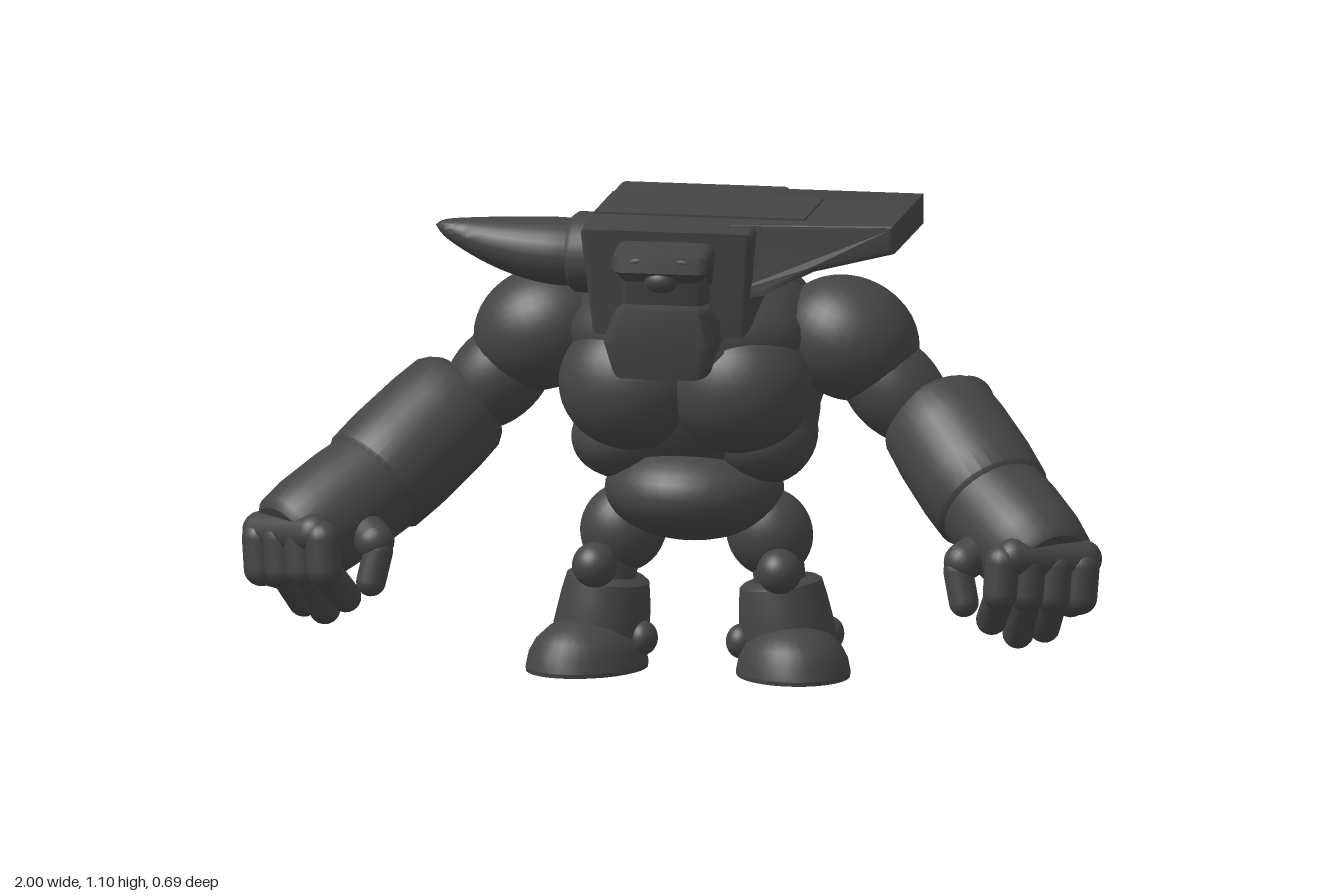
import * as THREE from 'three';
import { toCreasedNormals } from 'three/addons/utils/BufferGeometryUtils.js';

export function createModel() {
  const model = new THREE.Group();
  const iron = new THREE.MeshStandardMaterial({ color: 0x444444 });
  iron.name = 'dark iron';
  const V = (p) => new THREE.Vector3(...p);
  const UP = new THREE.Vector3(0, 1, 0);

  function add(name, geo, parent = model) {
    const mesh = new THREE.Mesh(geo, iron);
    mesh.name = name;
    parent.add(mesh);
    return mesh;
  }
  function ball(name, pos, radii, parent, rotZ = 0) {
    const m = add(name, new THREE.SphereGeometry(1, 32, 20), parent);
    m.position.set(...pos);
    m.scale.set(...radii);
    m.rotation.z = rotZ;
    return m;
  }
  // turned shape whose profile [radius, length fraction] runs from a to b
  function turned(name, a, b, profile, parent) {
    const d = V(b).sub(V(a)), len = d.length();
    const pts = profile.map(([r, t]) => new THREE.Vector2(r, t * len));
    const geo = toCreasedNormals(new THREE.LatheGeometry(pts, 32), 0.7);
    const m = add(name, geo, parent);
    m.position.set(...a);
    m.quaternion.setFromUnitVectors(UP, d.normalize());
    return m;
  }
  function capsule(name, a, b, r, parent) {
    const d = V(b).sub(V(a));
    const m = add(name, new THREE.CapsuleGeometry(r, d.length(), 8, 18), parent);
    m.position.copy(V(a).add(V(b)).multiplyScalar(0.5));
    m.quaternion.setFromUnitVectors(UP, d.normalize());
  }
  // bevelled extrusion, centred on its depth, that keeps the drawn outline
  function slab(points, depth, bevel) {
    const shape = new THREE.Shape(points.map((p) => new THREE.Vector2(...p)));
    const geo = new THREE.ExtrudeGeometry(shape, {
      depth: depth - 2 * bevel, bevelSize: bevel, bevelThickness: bevel, bevelOffset: -bevel, bevelSegments: 3, steps: 1,
    });
    return geo.translate(0, 0, bevel - depth / 2);
  }
  function reshape(geo, rule) {
    const p = geo.attributes.position, v = new THREE.Vector3();
    for (let i = 0; i < p.count; i++) {
      rule(v.fromBufferAttribute(p, i));
      p.setXYZ(i, v.x, v.y, v.z);
    }
    return toCreasedNormals(geo, 0.6);
  }

  // torso lofted through oval sections: half width, height, front z, back z
  const sections = [[0.02, 0.41, -0.08, -0.12], [0.17, 0.43, -0.02, -0.22], [0.24, 0.49, 0.02, -0.28], [0.28, 0.57, 0.07, -0.31],
    [0.29, 0.7, 0.11, -0.31], [0.28, 0.82, 0.11, -0.295], [0.24, 0.9, 0.05, -0.26], [0.15, 0.95, -0.04, -0.2], [0.01, 0.96, -0.11, -0.13]];
  const front = new THREE.CatmullRomCurve3(sections.map((s) => V([s[0], s[1], s[2]])), false, 'catmullrom');
  const back = new THREE.CatmullRomCurve3(sections.map((s) => V([0, s[1], s[3]])), false, 'catmullrom');
  const pos = [], idx = [], rows = 32, cols = 48;
  for (let i = 0; i <= rows; i++) {
    const f = front.getPoint(i / rows), b = back.getPoint(i / rows);
    for (let j = 0; j <= cols; j++) {
      const a = (j / cols) * Math.PI * 2;
      pos.push(f.x * Math.sin(a), f.y, (f.z + b.z) / 2 + ((f.z - b.z) / 2) * Math.cos(a));
      if (i < rows && j < cols) {
        const k = i * (cols + 1) + j, n = k + cols + 1;
        idx.push(k, k + 1, n, k + 1, n + 1, n);
      }
    }
  }
  const torso = new THREE.BufferGeometry();
  torso.setAttribute('position', new THREE.Float32BufferAttribute(pos, 3));
  torso.setIndex(idx);
  torso.computeVertexNormals();
  add('torso', torso);
  ball('pelvis', [0, 0.418, -0.09], [0.205, 0.118, 0.205]);
  ball('upperChest', [0, 0.79, 0.0], [0.27, 0.13, 0.14]);

  // anvil head: block, heel, top inlay
  const head = new THREE.Group();
  head.name = 'anvilHead';
  model.add(head);
  const block = slab([[0.25, 1.068], [0.2, 1.077], [0.13, 1.084], [-0.22, 1.098], [-0.23, 0.975], [0.0, 0.88], [0.13, 0.83], [0.21, 0.82]], 0.4, 0.015);
  block.rotateY(-Math.PI / 2);
  add('anvilBlock', reshape(block, (v) => {
    if (v.y < 0.9) v.x *= 0.9;
  }), head);
  const heel = slab([[0.1, 1.1], [0.51, 1.1], [0.51, 1.015], [0.33, 0.975], [0.22, 0.92], [0.1, 0.9]], 0.36, 0.012);
  add('anvilHeel', reshape(heel, (v) => {
    v.z -= 0.035;
    if (v.z > 0) v.z = Math.min(0.2, v.z + 0.075 * Math.max(0, (0.51 - v.x) / 0.31));
    if (v.y > 1.05) v.y -= 0.003 + 0.04 * (v.z + 0.22); // top slopes to the front
    else if (v.z < 0) v.y += 0.012 + 0.14 * (0.51 - v.x); // underside rises to the back
  }), head);
  const inlay = add('topInlay', new THREE.BoxGeometry(0.49, 0.009, 0.22), head);
  inlay.position.set(0.055, 1.0885, 0.02);
  inlay.rotation.x = 0.04;

  // horn and its collar
  const collar = turned('hornCollar', [-0.17, 0.98, 0.05], [-0.255, 0.98, 0.05],
    [[0, 0], [0.1, 0], [0.1, 0.85], [0.09, 1], [0, 1]], head);
  collar.scale.set(0.92, 1, 1.1);
  const hornPts = [[0.082, 0], [0.084, 0.15], [0.077, 0.35], [0.062, 0.58], [0.04, 0.8], [0.02, 0.94], [0, 1]];
  const horn = new THREE.LatheGeometry(new THREE.SplineCurve(hornPts.map(([r, t]) => new THREE.Vector2(r, t * 0.33))).getPoints(24), 28);
  horn.rotateZ(Math.PI / 2);
  add('horn', reshape(horn, (v) => {
    const t = -v.x / 0.33;
    v.set(v.x - 0.24, v.y * 0.92 + 0.98 + 0.055 * t * t, v.z * 1.1 + 0.055 + 0.015 * t);
  }), head);

  // face: muzzle, nose and heavy jaw
  const muzzle = slab([[0.15, 1.04], [0.25, 1.045], [0.325, 1.025], [0.33, 0.985], [0.3, 0.96], [0.285, 0.9], [0.15, 0.88]], 0.23, 0.025);
  muzzle.rotateY(-Math.PI / 2);
  add('muzzle', reshape(muzzle, (v) => { if (v.y < 0.98) v.x *= 0.85; }), head);
  const jaw = slab([[0.12, 0.9], [0.28, 0.905], [0.345, 0.905], [0.347, 0.82], [0.33, 0.74], [0.26, 0.735], [0.2, 0.76], [0.13, 0.83]], 0.26, 0.03);
  jaw.rotateY(-Math.PI / 2);
  add('jaw', reshape(jaw, (v) => { v.x *= v.y > 0.86 ? 0.84 : v.y < 0.78 ? 0.86 : 1; }), head);
  ball('nose', [0, 0.965, 0.295], [0.04, 0.03, 0.035], head);

  for (const s of [1, -1]) {
    const side = s > 0 ? 'left' : 'right';
    const at = (x, y, z) => [s * x, y, z];

    ball(side + 'Brow', at(0.055, 1.01, 0.292), [0.055, 0.022, 0.036], head, -s * 0.1);
    ball(side + 'Pec', at(0.125, 0.675, 0.015), [0.168, 0.155, 0.147]);
    ball(side + 'Rib', at(0.165, 0.535, -0.07), [0.115, 0.095, 0.13]);
    ball(side + 'ShoulderBlade', at(0.115, 0.71, -0.205), [0.175, 0.23, 0.14]);
    ball(side + 'Flank', at(0.165, 0.55, -0.11), [0.115, 0.12, 0.17]);

    // arm
    const arm = new THREE.Group();
    arm.name = side + 'Arm';
    model.add(arm);
    ball('shoulder', at(0.355, 0.772, -0.115), [0.165, 0.14, 0.15], arm, -s * 0.4);
    ball('upperArm', at(0.46, 0.66, -0.115), [0.15, 0.105, 0.105], arm, -s * 0.8);
    ball('elbow', at(0.62, 0.61, -0.185), [0.06, 0.07, 0.07], arm);
    ball('elbowPad', at(0.6, 0.575, -0.165), [0.085, 0.08, 0.075], arm);
    const p0 = at(0.55, 0.597, -0.135), p1 = at(0.725, 0.422, 0.037), p2 = at(0.885, 0.307, 0.2);
    turned('forearm', p0, p1,
      [[0, 0.06], [0.1, 0.04], [0.125, 0], [0.135, 0.06], [0.141, 0.3], [0.143, 0.7], [0.139, 0.96], [0.128, 1], [0, 1]], arm);
    turned('gauntlet', p1, p2,
      [[0, -0.05], [0.129, -0.05], [0.131, 0.3], [0.127, 0.7], [0.117, 0.95], [0.1, 1.02], [0, 1.04]], arm);
    capsule('knuckles', at(0.955, 0.33, 0.17), at(0.815, 0.345, 0.265), 0.045, arm);

    // curled fingers in a row along the knuckles
    const drop = [0.22, 0.165, 0.155, 0.19];
    for (let i = 0; i < 4; i++) {
      const t = i / 3;
      const x = 0.957 - 0.165 * t, z = 0.185 + 0.095 * t, y = 0.315 + 0.02 * t;
      const mid = at(x - 0.005, y - 0.07, z + 0.003);
      capsule('fingerBase', at(x, y, z), mid, 0.041, arm);
      capsule('fingerTip', mid, at(x - 0.04, drop[i], z - 0.07), 0.036, arm);
    }
    capsule('thumbBase', at(0.73, 0.35, 0.15), at(0.685, 0.32, 0.205), 0.045, arm);
    capsule('thumbTip', at(0.675, 0.3, 0.215), at(0.69, 0.23, 0.225), 0.034, arm);

    // leg
    const leg = new THREE.Group();
    leg.name = side + 'Leg';
    model.add(leg);
    ball('thigh', at(0.17, 0.315, -0.115), [0.098, 0.105, 0.092], leg, s * 0.5);
    ball('knee', at(0.215, 0.245, -0.005), [0.052, 0.052, 0.055], leg);
    capsule('shin', at(0.19, 0.27, -0.1), at(0.2, 0.18, -0.1), 0.06, leg);
    turned('bootShaft', at(0.225, 0.02, -0.095), at(0.2, 0.21, -0.09),
      [[0, 0], [0.108, 0], [0.11, 0.4], [0.102, 0.75], [0.095, 0.96], [0.085, 1], [0, 1]], leg);
    const foot = turned('foot', at(0.24, 0, -0.04), at(0.24, 0.12, -0.04),
      [[0, 0], [0.99, 0], [1, 0.08], [0.95, 0.35], [0.83, 0.6], [0.62, 0.82], [0.33, 0.96], [0, 1]], leg);
    foot.scale.set(0.13, 1, 0.162);
    foot.rotation.y = s * 0.4;
    ball('outerAnkle', at(0.305, 0.08, -0.14), [0.033, 0.04, 0.038], leg);
    ball('innerAnkle', at(0.115, 0.07, -0.06), [0.035, 0.04, 0.04], leg);
  }
  return model;
}
